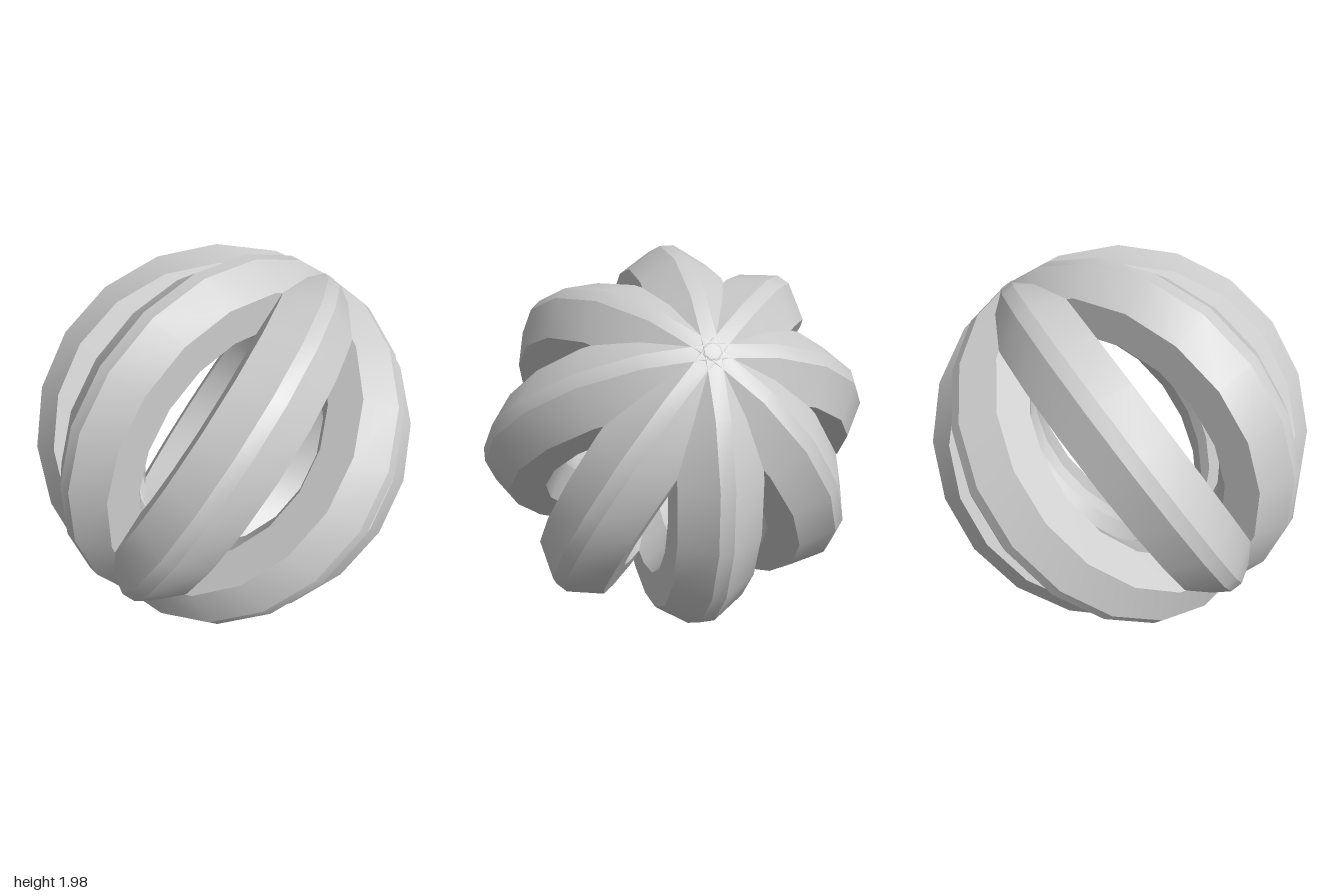
import * as THREE from 'three';
import { toCreasedNormals } from 'three/addons/utils/BufferGeometryUtils.js';

const RINGS = 4;
const SEGMENTS = 20;

// Closed cross-section of one ring: [radius, height], counter-clockwise
const SECTION = [
  [0.893, -0.2], [1, -0.035], [1, 0.035], [0.893, 0.2],
  [0.71, 0.2], [0.6, 0.035], [0.6, -0.035], [0.71, -0.2], [0.893, -0.2],
];

export function createModel() {
  const model = new THREE.Group();
  model.name = 'ringCage';

  const material = new THREE.MeshStandardMaterial({ color: 0xcccccc });

  // Smooth around the ring, sharp along the edges of its section
  const profile = SECTION.map(([r, h]) => new THREE.Vector2(r, h));
  const geometry = toCreasedNormals(new THREE.LatheGeometry(profile, SEGMENTS), 0.4);

  // Rings share one diameter (local z) and fan evenly around it
  const cage = new THREE.Group();
  cage.name = 'crossedRings';
  for (let i = 0; i < RINGS; i++) {
    const ring = new THREE.Mesh(geometry, material);
    ring.name = `ring${i + 1}`;
    ring.rotation.z = (i * Math.PI) / RINGS;
    cage.add(ring);
  }

  // Tilt the shared diameter from low front to high back; rest on a flat facet
  cage.rotation.x = Math.PI / 4;
  cage.position.y = Math.cos(Math.PI / SEGMENTS);
  model.add(cage);
  return model;
}
